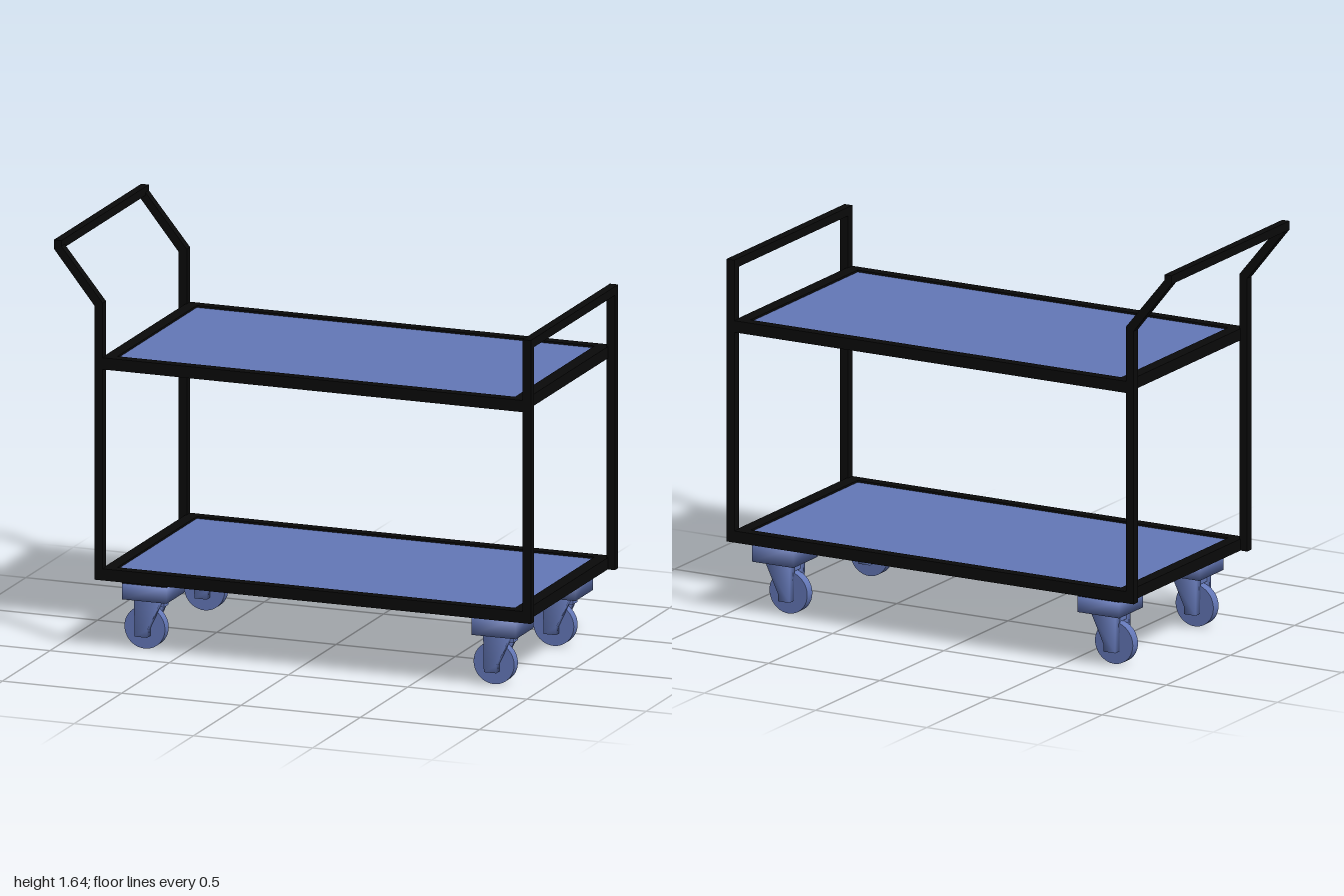
import * as THREE from 'three';
import { mergeVertices } from 'three/addons/utils/BufferGeometryUtils.js';

const black = new THREE.MeshStandardMaterial({ color: 0x0a0a0a });
const blue = new THREE.MeshStandardMaterial({ color: 0x6478b8 });

function add(parent, name, geometry, material) {
  const mesh = new THREE.Mesh(geometry, material);
  mesh.name = name;
  parent.add(mesh);
  return mesh;
}

// Box given by its extents on each axis
function box(x0, x1, y0, y1, z0, z1) {
  return new THREE.BoxGeometry(x1 - x0, y1 - y0, z1 - z0)
    .translate((x0 + x1) / 2, (y0 + y1) / 2, (z0 + z1) / 2);
}

// Side profile in x/y, extruded along z from z0 to z1
function slab(points, z0, z1) {
  const shape = new THREE.Shape(points.map(([x, y]) => new THREE.Vector2(x, y)));
  return new THREE.ExtrudeGeometry(shape, { depth: z1 - z0, bevelEnabled: false }).translate(0, 0, z0);
}

// Share normals across edges for the soft shading of the castings
function soften(geometry) {
  geometry.deleteAttribute('normal');
  geometry.deleteAttribute('uv');
  const merged = mergeVertices(geometry);
  merged.computeVertexNormals();
  return merged;
}

// Rectangular rim with a blue panel set just below its top edge
function createShelf(name, y0, y1) {
  const shelf = new THREE.Group();
  shelf.name = name;
  const rim = new THREE.Shape([
    new THREE.Vector2(-0.8, -0.46), new THREE.Vector2(0.97, -0.46),
    new THREE.Vector2(0.97, 0.46), new THREE.Vector2(-0.8, 0.46)]);
  rim.holes.push(new THREE.Path([
    new THREE.Vector2(-0.75, -0.417), new THREE.Vector2(-0.75, 0.417),
    new THREE.Vector2(0.917, 0.417), new THREE.Vector2(0.917, -0.417)]));
  const geometry = new THREE.ExtrudeGeometry(rim, { depth: y1 - y0, bevelEnabled: false });
  add(shelf, 'shelfFrame', geometry.rotateX(-Math.PI / 2).translate(0, y0, 0), black);
  add(shelf, 'shelfPanel', box(-0.752, 0.919, y1 - 0.03, y1 - 0.008, -0.419, 0.419), blue);
  return shelf;
}

// Swivel caster, with the mounting plate centred on x = 0, z = 0
function createCaster(plateTop) {
  const caster = new THREE.Group();
  caster.name = 'caster';
  add(caster, 'mountingPlate', soften(box(-0.093, 0.093, 0.21, plateTop, -0.093, 0.093)), blue);
  add(caster, 'forkCrown', box(-0.058, 0.055, 0.175, 0.21, -0.024, 0.024), blue);
  const cheek = [[-0.055, 0.055], [-0.003, 0.055], [-0.003, 0.085], [0.057, 0.212], [-0.058, 0.212]];
  for (const side of [-1, 1]) {
    const z = side * 0.041;
    add(caster, 'forkCheek', soften(slab(cheek, z - 0.017, z + 0.017)), blue);
  }
  const wheel = new THREE.CylinderGeometry(0.085, 0.085, 0.04, 40).rotateX(Math.PI / 2);
  add(caster, 'wheel', wheel.translate(-0.028, 0.085, 0), blue);
  const axle = new THREE.CylinderGeometry(0.012, 0.012, 0.08, 16).rotateX(Math.PI / 2);
  add(caster, 'axle', axle.translate(-0.028, 0.085, 0), blue);
  return caster;
}

export function createModel() {
  const cart = new THREE.Group();
  cart.name = 'shelfCart';

  // Posts: bent outward to the push handle on one end, straight on the other
  const bentPost = [[-0.83, 0.293], [-0.795, 0.293], [-0.795, 1.41], [-0.968, 1.622],
    [-0.968, 1.645], [-1, 1.645], [-1, 1.61], [-0.83, 1.397]];
  for (const z0 of [-0.46, 0.425]) {
    add(cart, 'handlePost', slab(bentPost, z0, z0 + 0.035), black);
    add(cart, 'endPost', box(0.965, 1, 0.293, 1.435, z0, z0 + 0.035), black);
  }
  add(cart, 'pushHandle', box(-1, -0.968, 1.61, 1.645, -0.426, 0.426), black);
  add(cart, 'endRail', box(0.965, 1, 1.4, 1.435, -0.426, 0.426), black);

  // Two shelves; the lower one has a closed underside
  cart.add(createShelf('upperShelf', 1.143, 1.19));
  cart.add(createShelf('lowerShelf', 0.293, 0.34));
  add(cart, 'undersideSheet', box(-0.752, 0.919, 0.293, 0.305, -0.419, 0.419), black);

  // Cross strips carrying the casters
  add(cart, 'crossStrip', box(-0.735, -0.548, 0.275, 0.296, -0.409, 0.409), black);
  add(cart, 'crossStrip', box(0.735, 0.919, 0.275, 0.296, -0.395, 0.395), black);

  for (const [x, plateTop] of [[-0.641, 0.275], [0.823, 0.291]]) {
    for (const z of [-0.314, 0.314]) {
      const caster = createCaster(plateTop);
      caster.position.set(x, 0, z);
      cart.add(caster);
    }
  }
  return cart;
}
